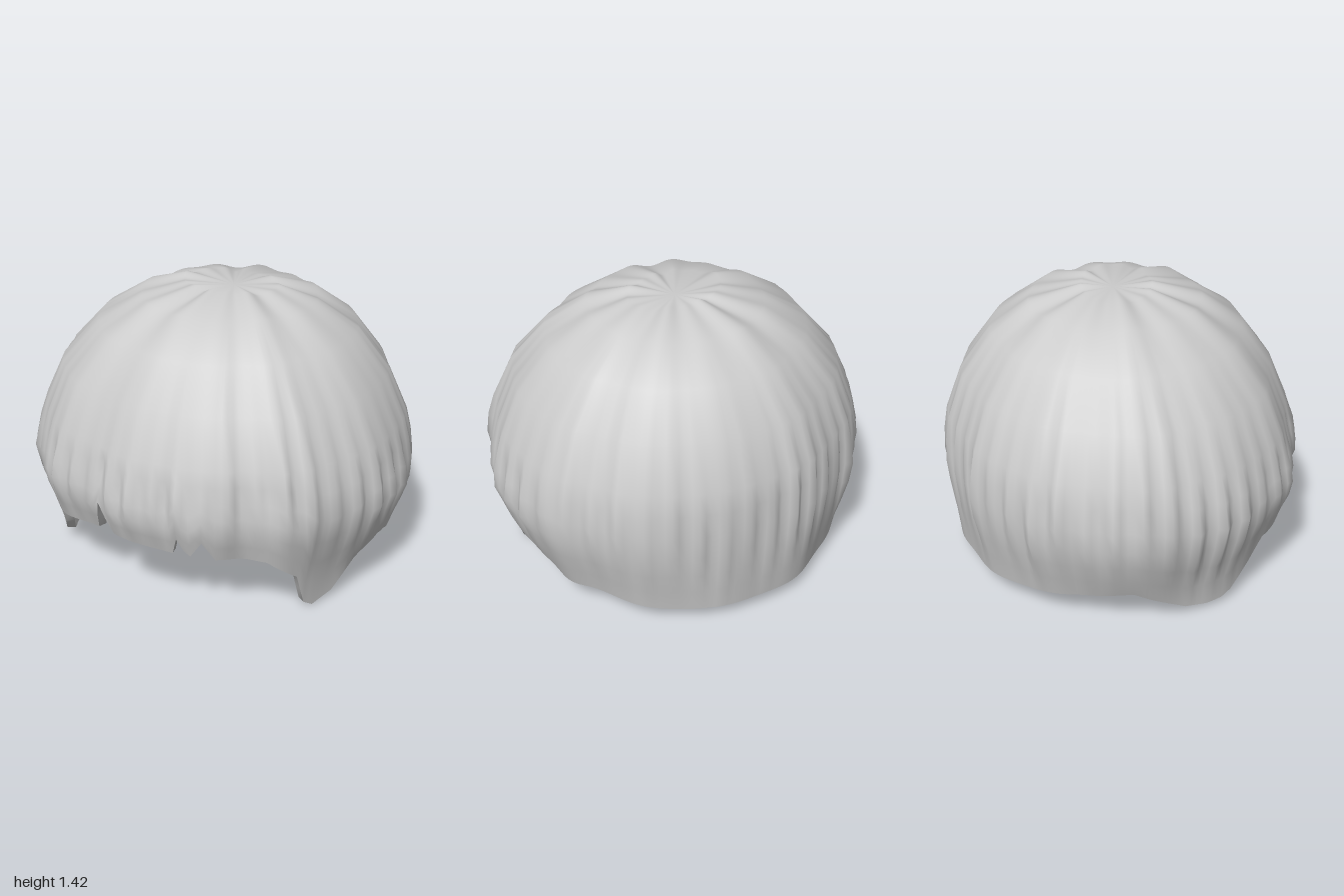
import * as THREE from 'three';

const COLS = 180; // columns around the head, 2 degrees each
const TEETH = 45; // hair strands around the head
const ROWS = 12; // rings from crown to hem
const INSET = 0.045; // thickness of the hair

// Dome profile: height, then reach toward front, sides and back
const PROFILE = [
  [1.41, 0.18, 0.25, 0.17], [1.35, 0.41, 0.44, 0.44],
  [1.22, 0.6, 0.655, 0.645], [1.02, 0.735, 0.825, 0.805], [0.8, 0.825, 0.92, 0.88],
  [0.66, 0.86, 0.955, 0.892], [0.52, 0.885, 0.975, 0.895], [0.33, 0.82, 0.925, 0.885],
  [0.18, 0.8, 0.86, 0.87], [0, 0.8, 0.83, 0.85],
];

// Hem height by angle from the front (degrees, positive toward +x):
// fringe with notches, a pointed sideburn each side, low nape
const HEM = [
  [-180, 0.08], [-150, 0.085], [-114, 0.14], [-90, 0.19], [-72, 0.045], [-64, 0.03],
  [-58, 0.035], [-54, 0.06], [-46, 0.17], [-42, 0.3], [-16, 0.36], [-12, 0.54], [-8, 0.37],
  [14, 0.35], [16, 0.45], [18, 0.38], [20, 0.35], [24, 0.45], [28, 0.34],
  [44, 0.33], [54, 0.22], [58, 0.04], [62, 0], [70, 0.04], [80, 0.22], [90, 0.25],
  [106, 0.15], [150, 0.08], [180, 0.08],
];

// Broad folds: angle, width and depth; and how far strands stand out per ring
const FOLDS = [[37, 6, -0.035], [110, 5, 0.02], [-35, 8, 0.01], [-100, 6, 0.012]];
const RELIEF = [0, 0.15, 0.2, 0.3, 0.5, 0.8, 1, 1.1, 1, 0.7, 0.4, 0.15];

// Linear lookup in a table whose first column rises or falls steadily
function lookup(table, key, col) {
  for (let i = 1; i < table.length; i++) {
    const a = table[i - 1], b = table[i];
    if ((key - a[0]) * (key - b[0]) <= 0) {
      return a[col] + ((b[col] - a[col]) * (key - a[0])) / (b[0] - a[0]);
    }
  }
  return table[table.length - 1][col];
}

const hash = (n) => {
  const s = Math.sin(n * 127.1 + 11.7) * 43758.5453;
  return s - Math.floor(s);
};

// Reach of the dome at a height and angle: an ellipse, fuller at the front corners
function reach(y, angle) {
  const c = Math.cos(angle), s = Math.sin(angle);
  const z = lookup(PROFILE, y, c > 0 ? 1 : 3), x = lookup(PROFILE, y, 2);
  const corner = c > 0 && y < 1.2 ? 0.015 * Math.sin(2 * angle) ** 2 : 0;
  return (x * z) / Math.hypot(c * x, s * z) + corner;
}

// Uneven pointed ridge of one strand, fading out at its own height
function ridge(deg, row) {
  const t = ((deg + 180) / 360) * TEETH;
  const k = Math.floor(t) % TEETH, f = t - Math.floor(t);
  const fade = Math.exp(-(((row - 5 - 3.5 * hash(k + 70)) / 2.2) ** 2));
  return (1 - 4 * Math.abs(f - 0.5)) * (0.2 + 0.85 * hash(k)) * fade;
}

// Broad locks of several strands
const lock = (a) => 0.5 * Math.sin(a * 8 + 1) + 0.5 * Math.sin(a * 13 + 2.6);

// A point on the hair; inset > 0 gives the smoother lining
function hairPoint(row, deg, inset) {
  const a = THREE.MathUtils.degToRad(deg);
  const down = Math.max(0, (row - 5) / (ROWS - 6));
  let y = 1.39, r = 0;
  if (row > 0) {
    y = row < 6 ? PROFILE[row - 1][0] : THREE.MathUtils.lerp(0.8, lookup(HEM, deg, 1), down);
    r = reach(y, a) + 0.012 * Math.min(1, row / 4) * lock(a);
    r += (inset > 0 ? 0.006 : 0.026) * RELIEF[row] * ridge(deg, row);
    for (const [at, width, depth] of FOLDS) {
      r += depth * Math.min(1, row / 8) * Math.exp(-(((deg - at) / width) ** 2));
    }
    if (row < 3) y += 0.012 * lock(a);
  }
  r = Math.max(0, r - inset);
  if (row < 6) y -= inset * (1 - row / 6);
  // the crown sits a little to the back
  const shift = Math.max(0, 1 - row / 4);
  return [Math.sin(a) * r + 0.03 * shift, y, Math.cos(a) * r - 0.05 * shift];
}

// Closed band of quads through a list of rings
function loft(rings, point, flip) {
  const pos = [], index = [];
  for (let i = 0; i < rings; i++) {
    for (let j = 0; j < COLS; j++) pos.push(...point(i, -180 + (j * 360) / COLS));
  }
  for (let i = 0; i < rings - 1; i++) {
    for (let j = 0; j < COLS; j++) {
      const k = (j + 1) % COLS;
      const a = i * COLS + j, b = a + COLS, c = (i + 1) * COLS + k, d = i * COLS + k;
      if (flip) index.push(a, c, b, a, d, c);
      else index.push(a, b, c, a, c, d);
    }
  }
  const g = new THREE.BufferGeometry();
  g.setAttribute('position', new THREE.Float32BufferAttribute(pos, 3));
  g.setIndex(index);
  g.computeVertexNormals();
  // one shared vertical normal for the crown point
  const n = g.getAttribute('normal');
  if (rings > 2) for (let j = 0; j < COLS; j++) n.setXYZ(j, 0, flip ? -1 : 1, 0);
  return g;
}

export function createModel() {
  const group = new THREE.Group();
  group.name = 'hair';
  const material = new THREE.MeshStandardMaterial({ color: 0xcccccc, side: THREE.DoubleSide });
  const add = (name, geometry) => {
    const mesh = new THREE.Mesh(geometry, material);
    mesh.name = name;
    group.add(mesh);
  };
  // Ridged outer hair, lining, and the rim joining them at the hem
  add('outerHair', loft(ROWS, (i, deg) => hairPoint(i, deg, 0), false));
  add('innerLining', loft(ROWS, (i, deg) => hairPoint(i, deg, INSET), true));
  add('hemRim', loft(2, (i, deg) => hairPoint(ROWS - 1, deg, i * INSET), false));
  return group;
}
